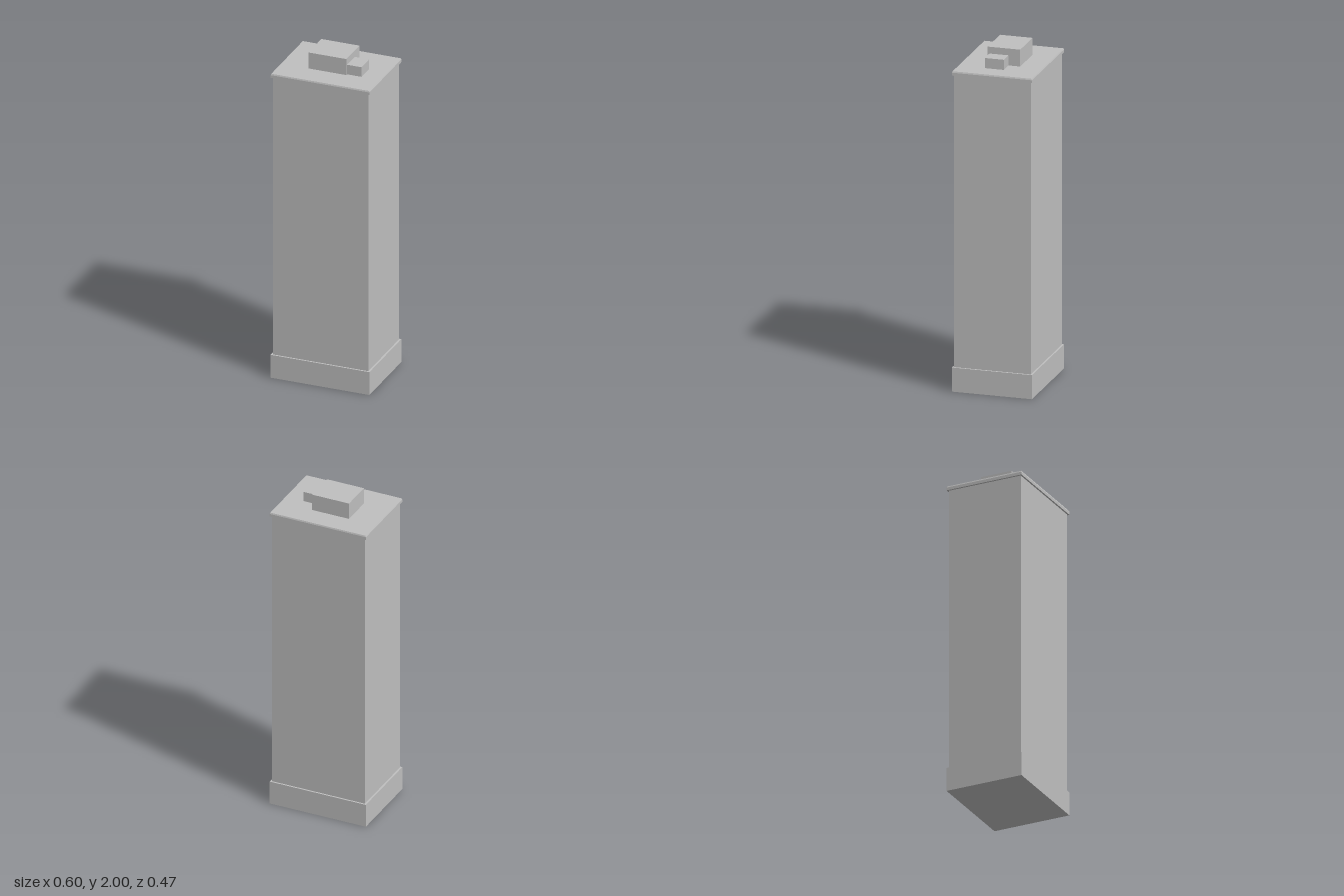
import * as THREE from 'three';

export function createModel() {
  const group = new THREE.Group();
  const concrete = new THREE.MeshStandardMaterial({ color: 0xbfbfbf });
  concrete.name = 'concreteGrey';

  // Box given by its extents on each axis; the top can be drawn in by an inset
  function block(name, [x0, x1], [y0, y1], [z0, z1], inset = 0) {
    const w = x1 - x0, d = z1 - z0;
    const geometry = new THREE.BoxGeometry(w, y1 - y0, d);
    const p = geometry.attributes.position;
    for (let i = 0; i < p.count; i++) {
      if (p.getY(i) > 0) {
        p.setX(i, p.getX(i) * (1 - 2 * inset / w));
        p.setZ(i, p.getZ(i) * (1 - 2 * inset / d));
      }
    }
    geometry.computeVertexNormals();
    const mesh = new THREE.Mesh(geometry, concrete);
    mesh.name = name;
    mesh.position.set((x0 + x1) / 2, (y0 + y1) / 2, (z0 + z1) / 2);
    group.add(mesh);
  }

  // Plinth and tower shaft
  block('base', [-0.302, 0.302], [0, 0.143], [-0.237, 0.237]);
  block('shaft', [-0.291, 0.291], [0.143, 1.875], [-0.227, 0.227]);

  // Roof slab with a slightly bevelled upper edge
  block('cornice', [-0.302, 0.302], [1.875, 1.892], [-0.237, 0.237]);
  block('corniceBevel', [-0.302, 0.302], [1.892, 1.9], [-0.237, 0.237], 0.003);

  // Rooftop housings
  block('roofHousing', [-0.132, 0.1], [1.9, 2], [-0.104, 0.089]);
  block('roofAnnex', [0.1, 0.188], [1.9, 1.96], [-0.035, 0.078]);

  return group;
}
